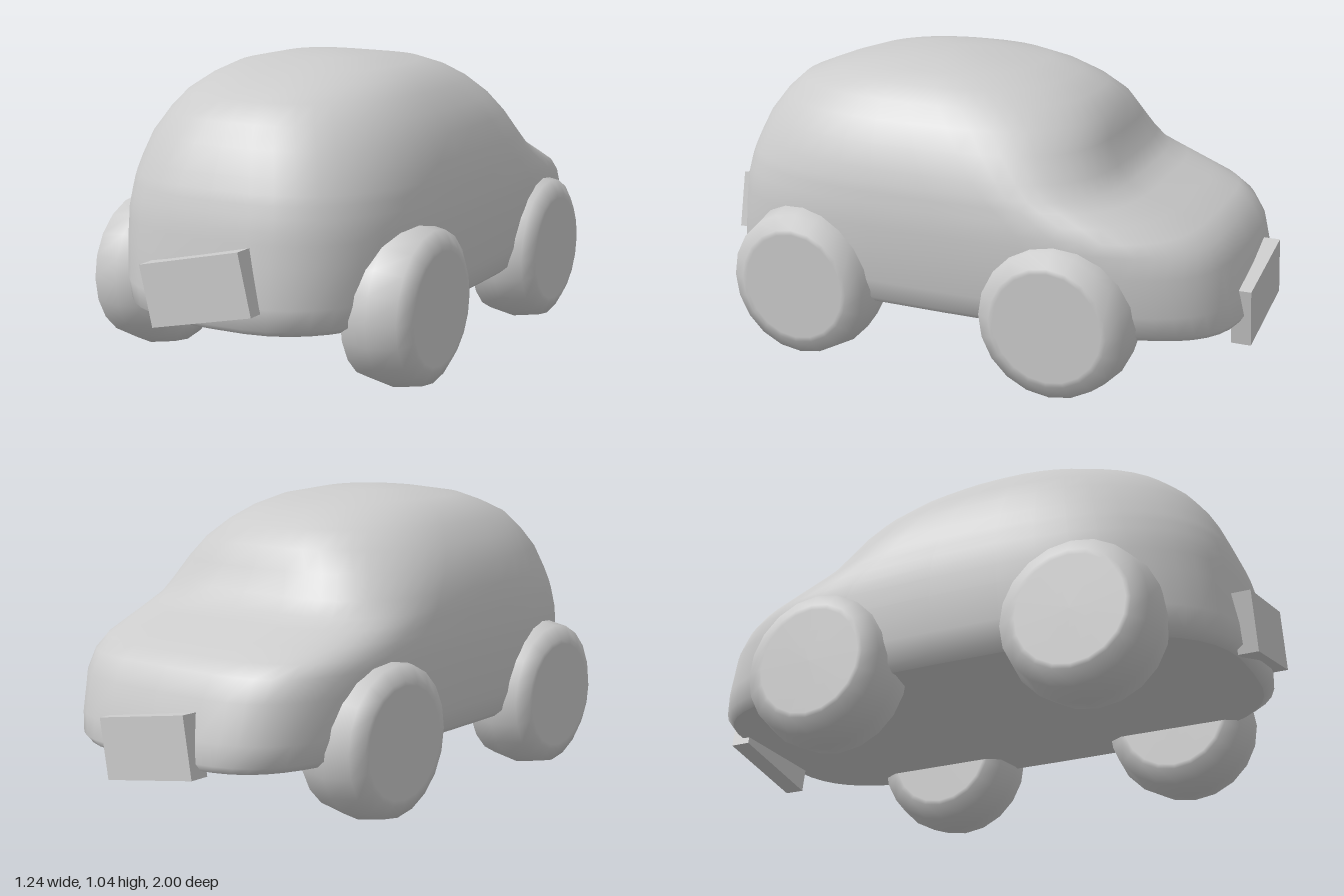
import * as THREE from 'three';

const material = new THREE.MeshStandardMaterial({ color: 0xcccccc });

function addMesh(group, name, geometry, x = 0, y = 0, z = 0) {
  const mesh = new THREE.Mesh(geometry, material);
  mesh.name = name;
  mesh.position.set(x, y, z);
  group.add(mesh);
  return mesh;
}

// Horizontal outlines of the body, bottom to top: y, bonnet end z, tail end z, half width
const LAYERS = [
  [0.225, -0.965, 0.93, 0.51],
  [0.25, -0.98, 0.965, 0.54],
  [0.32, -0.967, 0.965, 0.56],
  [0.45, -0.935, 0.95, 0.57],
  [0.52, -0.89, 0.94, 0.57],
  [0.56, -0.83, 0.935, 0.57],
  [0.60, -0.73, 0.925, 0.565],
  [0.64, -0.63, 0.915, 0.56],
  [0.67, -0.56, 0.905, 0.555],
  [0.72, -0.515, 0.885, 0.542],
  [0.80, -0.47, 0.85, 0.515],
  [0.87, -0.44, 0.80, 0.47],
  [0.93, -0.37, 0.735, 0.42],
  [0.975, -0.28, 0.62, 0.365],
  [1.01, -0.16, 0.51, 0.295],
  [1.035, 0.03, 0.34, 0.17],
];

// Closed shell: rounded outlines joined upward, with a roof point and a flat floor
function bodyGeometry(segments = 48) {
  const positions = [];
  const index = [];
  const { lerp, smoothstep } = THREE.MathUtils;

  LAYERS.forEach(([y, front, rear, width]) => {
    const t = smoothstep(y, 0.55, 1.04);
    const middle = lerp(0, 0.18, t);
    for (let j = 0; j < segments; j++) {
      const a = (j / segments) * Math.PI * 2;
      const c = Math.cos(a), s = Math.sin(a);
      const power = 2 / (s < 0 ? lerp(4, 2.4, t) : lerp(3, 2.3, t));
      const reach = s < 0 ? middle - front : rear - middle;
      positions.push(
        width * Math.sign(c) * Math.abs(c) ** power,
        y,
        middle + reach * Math.sign(s) * Math.abs(s) ** power
      );
    }
  });

  const rows = LAYERS.length;
  const roof = rows * segments;
  positions.push(0, 1.045, 0.18);
  const floor = roof + 1;
  positions.push(...positions.slice(0, segments * 3), 0, LAYERS[0][0], 0);
  const floorCentre = floor + segments;

  for (let j = 0; j < segments; j++) {
    const k = (j + 1) % segments;
    for (let i = 0; i < rows - 1; i++) {
      const a = i * segments + j, b = i * segments + k;
      index.push(a, a + segments, b, b, a + segments, b + segments);
    }
    const top = (rows - 1) * segments;
    index.push(top + j, roof, top + k);
    index.push(floor + j, floor + k, floorCentre);
  }

  const geometry = new THREE.BufferGeometry();
  geometry.setAttribute('position', new THREE.Float32BufferAttribute(positions, 3));
  geometry.setIndex(index);
  geometry.computeVertexNormals();
  return geometry;
}

// Fat rounded tyre with flat sides, axle along x
function wheelGeometry() {
  const profile = [
    [0, -0.13], [0.19, -0.13], [0.207, -0.129], [0.255, -0.1], [0.273, 0],
    [0.255, 0.1], [0.207, 0.129], [0.19, 0.13], [0, 0.13],
  ].map(([r, h]) => new THREE.Vector2(r, h));
  return new THREE.LatheGeometry(profile, 20).rotateZ(Math.PI / 2);
}

export function createModel() {
  const car = new THREE.Group();
  car.name = 'car';

  addMesh(car, 'body', bodyGeometry());

  // Wheels
  const wheel = wheelGeometry();
  for (const [sideName, side] of [['left', 1], ['right', -1]]) {
    addMesh(car, sideName + 'TailWheel', wheel, side * 0.49, 0.276, 0.52);
    addMesh(car, sideName + 'BonnetWheel', wheel, side * 0.49, 0.276, -0.43);
  }

  // Crooked number plates at both ends
  const plate = new THREE.BoxGeometry(0.39, 0.208, 0.07);
  addMesh(car, 'tailPlate', plate, -0.008, 0.364, 0.965).rotation.z = 0.225;
  addMesh(car, 'bonnetPlate', plate, -0.008, 0.272, -0.965).rotation.z = -0.165;

  return car;
}
